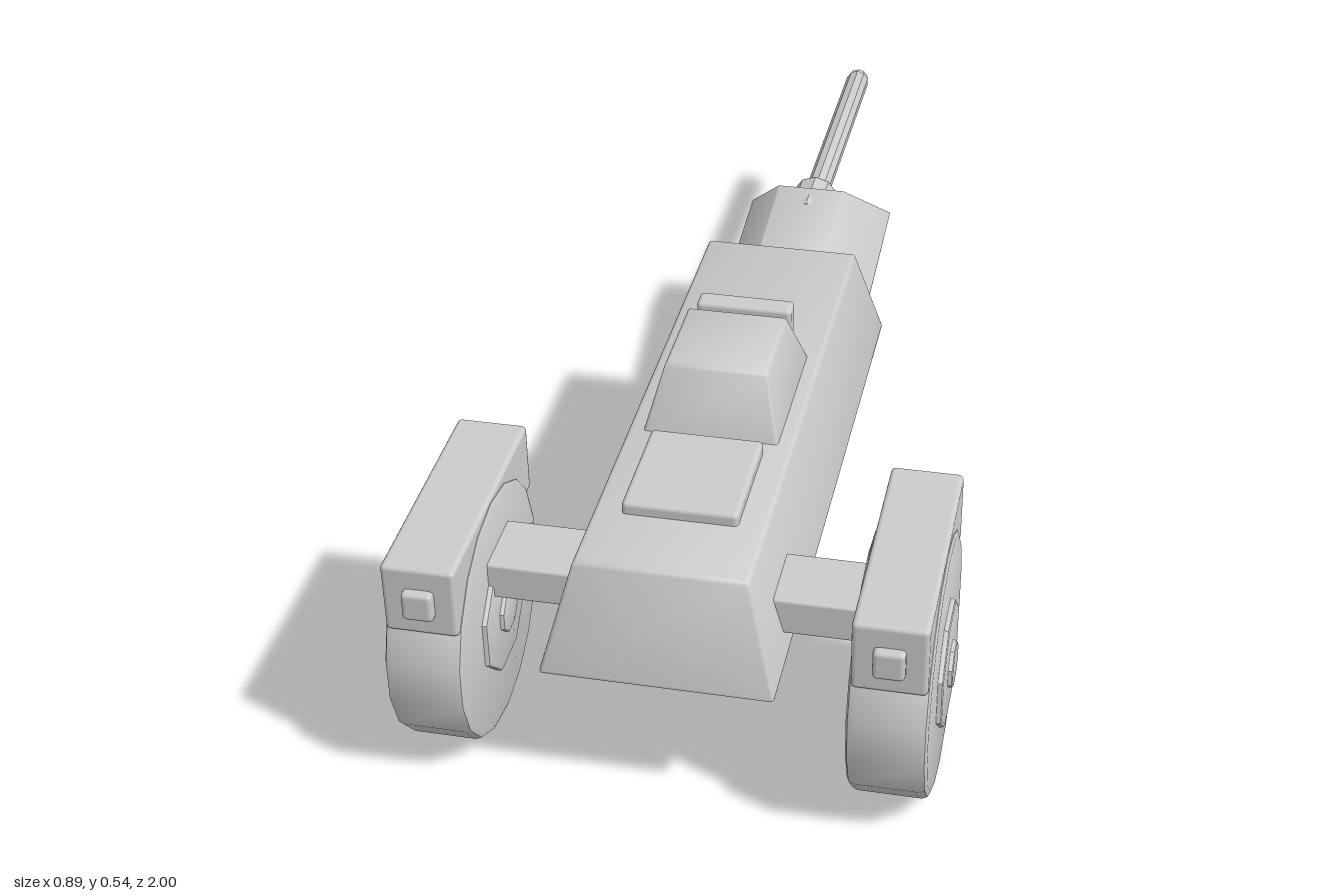
import * as THREE from 'three';
import { toCreasedNormals } from 'three/addons/utils/BufferGeometryUtils.js';
import { RoundedBoxGeometry } from 'three/addons/geometries/RoundedBoxGeometry.js';

const grey = new THREE.MeshStandardMaterial({ color: 0xcccccc });
grey.name = 'plain grey';

export function createModel() {
  const model = new THREE.Group();
  model.name = 'vehicle';

  function add(parent, name, geometry, x = 0, y = 0, z = 0) {
    const mesh = new THREE.Mesh(geometry, grey);
    mesh.name = name;
    mesh.position.set(x, y, z);
    parent.add(mesh);
    return mesh;
  }

  // Softly bevelled box given by its extents
  function box(parent, name, [x0, x1], [y0, y1], [z0, z1], r = 0.008) {
    const g = new RoundedBoxGeometry(x1 - x0, y1 - y0, z1 - z0, 2, r);
    return add(parent, name, g, (x0 + x1) / 2, (y0 + y1) / 2, (z0 + z1) / 2);
  }

  // Box standing on y = 0 that narrows towards its top
  function taperedBox(w, h, d, topW, topD, r) {
    const g = new RoundedBoxGeometry(w, h, d, 2, r);
    g.translate(0, h / 2, 0);
    const p = g.attributes.position;
    for (let i = 0; i < p.count; i++) {
      const t = p.getY(i) / h;
      p.setX(i, p.getX(i) * (1 + t * (topW / w - 1)));
      p.setZ(i, p.getZ(i) * (1 + t * (topD / d - 1)));
    }
    return toCreasedNormals(g, 0.6);
  }

  // Bevelled disc with its axis along x
  function disc(r, width, sides, bevel) {
    const h = width / 2;
    const profile = [[0, -h], [r - bevel, -h], [r - bevel * 0.3, -h + bevel * 0.3], [r, -h + bevel],
      [r, h - bevel], [r - bevel * 0.3, h - bevel * 0.3], [r - bevel, h], [0, h]]
      .map(([a, b]) => new THREE.Vector2(a, b));
    const g = new THREE.LatheGeometry(profile, sides, Math.PI / sides);
    g.rotateZ(-Math.PI / 2);
    return toCreasedNormals(g, 0.55);
  }

  function wheel(name, x, y, z, r, width) {
    const group = new THREE.Group();
    group.name = name;
    group.position.set(x, y, z);
    add(group, 'tyre', disc(r, width, 18, 0.012));
    add(group, 'hub', disc(r * 0.5, width + 0.018, 8, 0.006));
    add(group, 'hubCap', disc(r * 0.185, width + 0.034, 8, 0.005));
    model.add(group);
  }

  // Main hull and the parts on its deck
  add(model, 'hull', taperedBox(0.376, 0.187, 1.108, 0.276, 1.0, 0.007), 0, 0.245, 0.416);
  add(model, 'cabin', taperedBox(0.232, 0.115, 0.286, 0.17, 0.176, 0.006), 0, 0.422, 0.414);
  box(model, 'hatch', [-0.094, 0.094], [0.425, 0.453], [0.572, 0.782]);
  box(model, 'rearDeckBlock', [-0.083, 0.083], [0.453, 0.518], [0.238, 0.278]);

  // Front axle, wheels, fenders and lamps
  box(model, 'frontAxle', [-0.32, 0.32], [0.28, 0.345], [0.72, 0.842], 0.005);
  for (const side of [-1, 1]) {
    const x = side * 0.365;
    wheel('frontWheel', x, 0.216, 0.789, 0.215, 0.127);
    box(model, 'fender', [x - 0.059, x + 0.059], [0.31, 0.435], [0.577, 0.985]);
    box(model, 'headlamp', [x - 0.025, x + 0.025], [0.345, 0.397], [0.96, 1.0]);
  }

  // Rear wheel
  wheel('rearWheel', 0, 0.179, -0.09, 0.178, 0.126);

  // Tilted tail section
  const tail = add(model, 'tail', taperedBox(0.29, 0.128, 0.505, 0.13, 0.285, 0.003), 0, 0.241, -0.272);
  tail.rotation.x = 0.14;
  box(model, 'tailJoint', [-0.06, 0.06], [0.325, 0.358], [-0.155, -0.06], 0.006);

  // Rear gun: collar, barrel and muzzle
  const gunPart = (name, r, z0, z1, bevel) => {
    const g = disc(r, z1 - z0, 10, bevel);
    g.rotateY(Math.PI / 2);
    add(model, name, g, 0, 0.34, (z0 + z1) / 2);
  };
  gunPart('gunCollar', 0.045, -0.456, -0.34, 0.01);
  gunPart('barrel', 0.024, -0.985, -0.4, 0.004);
  gunPart('muzzle', 0.021, -1.0, -0.96, 0.005);

  return model;
}
